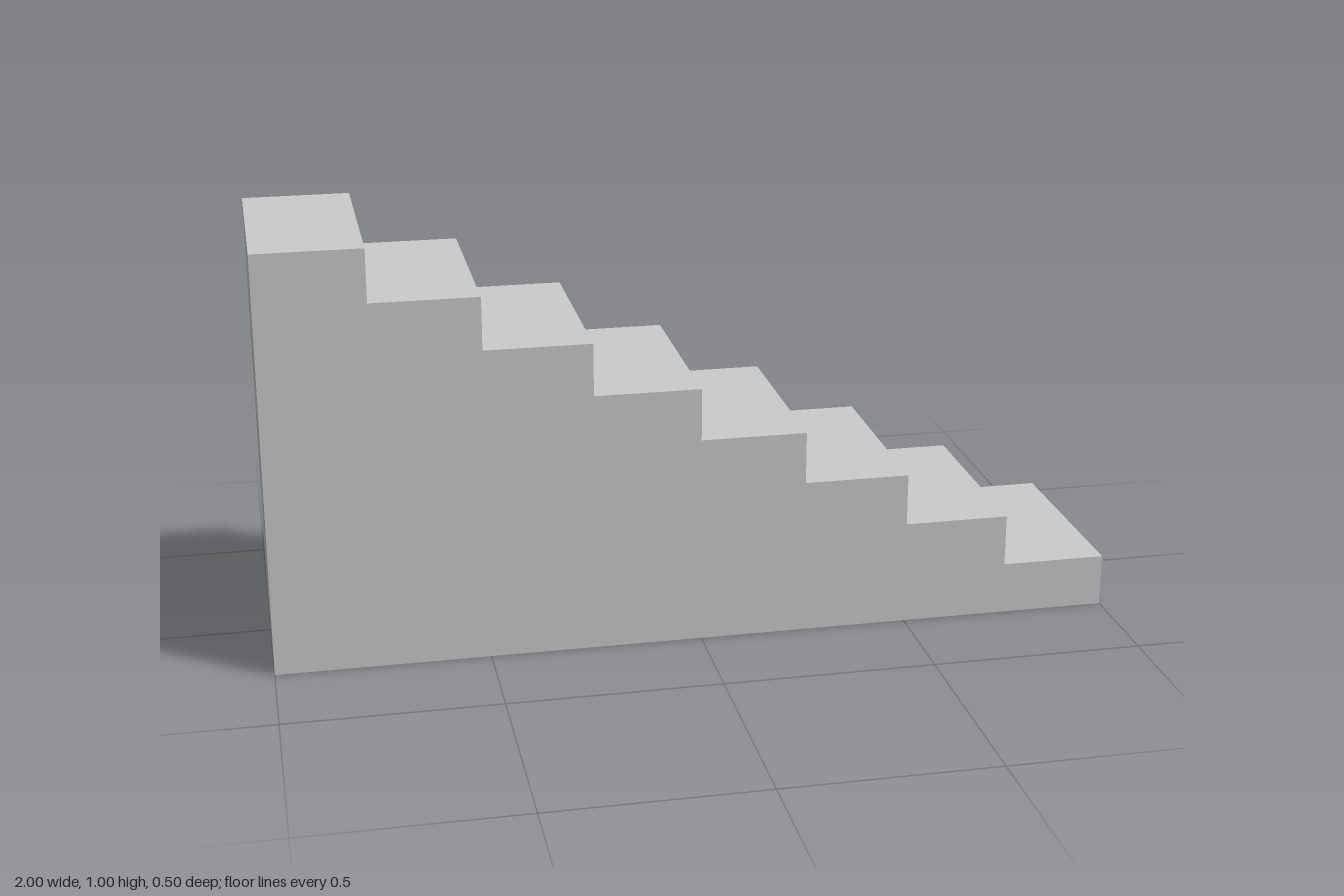
import * as THREE from 'three';

const STEPS = 8;
const RUN = 0.25;    // tread depth
const RISE = 0.125;  // riser height
const WIDTH = 0.5;

export function createModel() {
  const group = new THREE.Group();
  group.name = 'staircase';

  // Stepped side profile, climbing from +x to -x
  const profile = new THREE.Shape();
  profile.moveTo(-1, 0);
  profile.lineTo(1, 0);
  for (let i = 0; i < STEPS; i++) {
    const y = (i + 1) * RISE;
    profile.lineTo(1 - i * RUN, y);       // riser
    profile.lineTo(1 - (i + 1) * RUN, y); // tread
  }
  profile.closePath();

  // Solid flight of stairs, centred across its width
  const geometry = new THREE.ExtrudeGeometry(profile, { depth: WIDTH, bevelEnabled: false });
  geometry.translate(0, 0, -WIDTH / 2);
  const stairs = new THREE.Mesh(
    geometry,
    new THREE.MeshStandardMaterial({ color: 0xcccccc, flatShading: true })
  );
  stairs.name = 'stairs';
  group.add(stairs);

  return group;
}
